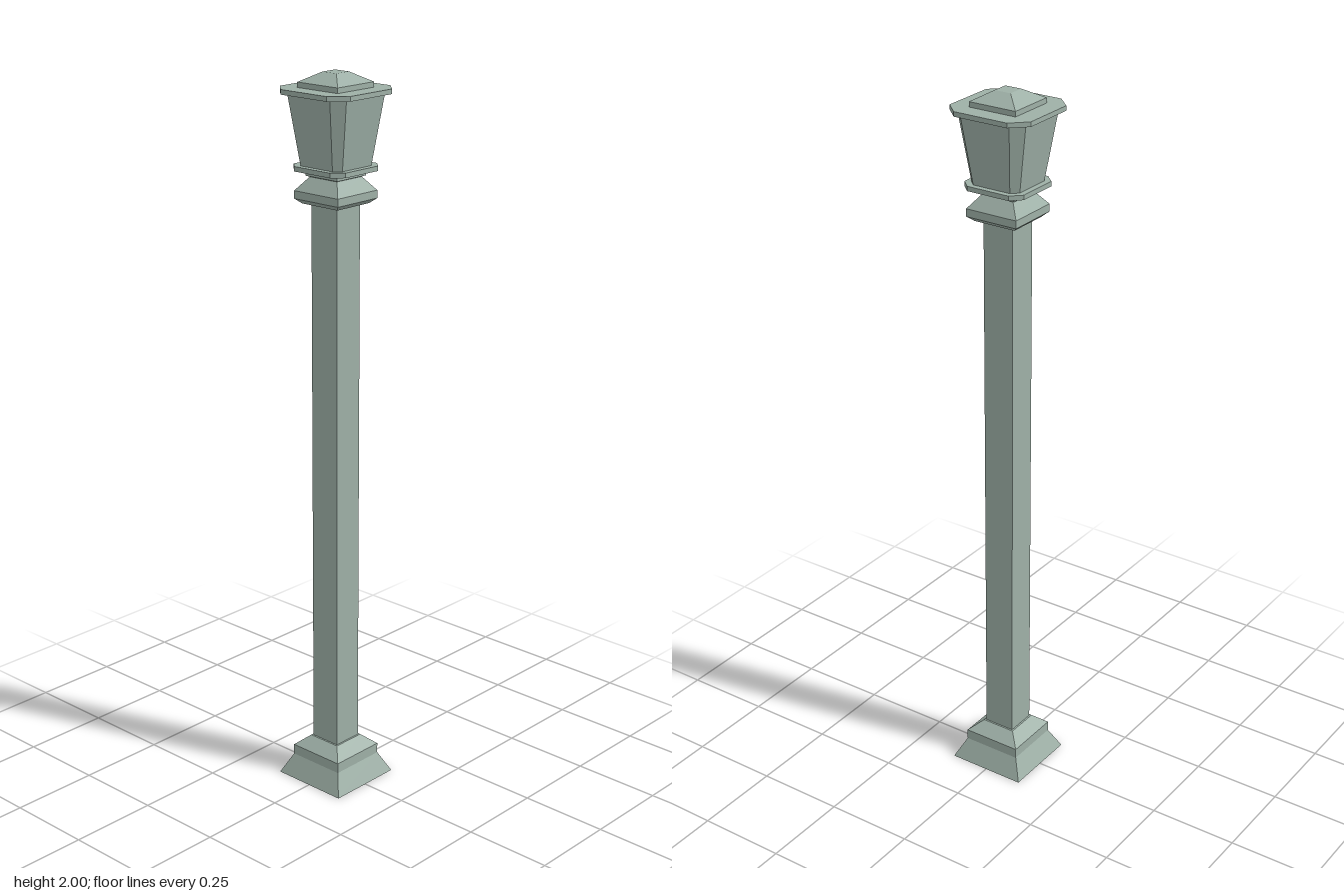
import * as THREE from 'three';

const material = new THREE.MeshStandardMaterial({ color: 0x9eb0a7, flatShading: true, side: THREE.DoubleSide });
const DEPTH = 0.98; // slightly shallower than wide

// Square cross-section of half width h, corners cut by c (c = 0 keeps four points)
function ring(h, c) {
  const points = [];
  for (let k = 0; k < 4; k++) {
    const cos = Math.round(Math.cos(k * Math.PI / 2));
    const sin = Math.round(Math.sin(k * Math.PI / 2));
    const corner = c > 0 ? [[h, h - c], [h - c, h]] : [[h, h]];
    for (const [x, z] of corner) points.push([x * cos - z * sin, x * sin + z * cos]);
  }
  return points;
}

// Loft through sections [y, halfWidth, cornerCut], from bottom to top
function loft(name, sections, capBottom = true, capTop = true) {
  const positions = [];
  const index = [];
  const n = ring(1, sections[0][2] || 0).length;
  for (const [y, h, c = 0] of sections) {
    for (const [x, z] of ring(h, c)) positions.push(x, y, z * DEPTH);
  }
  for (let s = 0; s < sections.length - 1; s++) {
    for (let i = 0; i < n; i++) {
      const a = s * n + i, b = s * n + (i + 1) % n;
      index.push(a, a + n, b, b, a + n, b + n);
    }
  }
  const top = (sections.length - 1) * n;
  for (let i = 1; i < n - 1; i++) {
    if (capBottom) index.push(0, i, i + 1);
    if (capTop) index.push(top, top + i + 1, top + i);
  }
  const indexed = new THREE.BufferGeometry();
  indexed.setAttribute('position', new THREE.Float32BufferAttribute(positions, 3));
  indexed.setIndex(index);
  const geometry = indexed.toNonIndexed();
  geometry.computeVertexNormals();
  const mesh = new THREE.Mesh(geometry, material);
  mesh.name = name;
  return mesh;
}

export function createModel() {
  const model = new THREE.Group();
  model.name = 'lampPost';
  model.add(
    // Flared foot, hollow underneath
    loft('base', [[0, 0.114], [0.058, 0.085], [0.087, 0.085], [0.117, 0.05]], false),
    // Square shaft
    loft('post', [[0.115, 0.045], [1.662, 0.045]], false, false),
    // Moulded collar under the lantern
    loft('collar', [[1.66, 0.062], [1.673, 0.077], [1.694, 0.077], [1.73, 0.048], [1.733, 0.056], [1.75, 0.056]]),
    // Lantern: floor plate, tapered body and roof plate, all with cut corners
    loft('lanternFloor', [[1.748, 0.091, 0.028], [1.761, 0.091, 0.028]]),
    loft('lanternBody', [[1.76, 0.074, 0.018], [1.95, 0.104, 0.03]]),
    loft('roofPlate', [[1.947, 0.122, 0.042], [1.96, 0.122, 0.042]]),
    // Truncated pyramid on the roof
    loft('roofCap', [[1.959, 0.07], [1.974, 0.07], [2, 0.024]], false),
  );
  return model;
}
